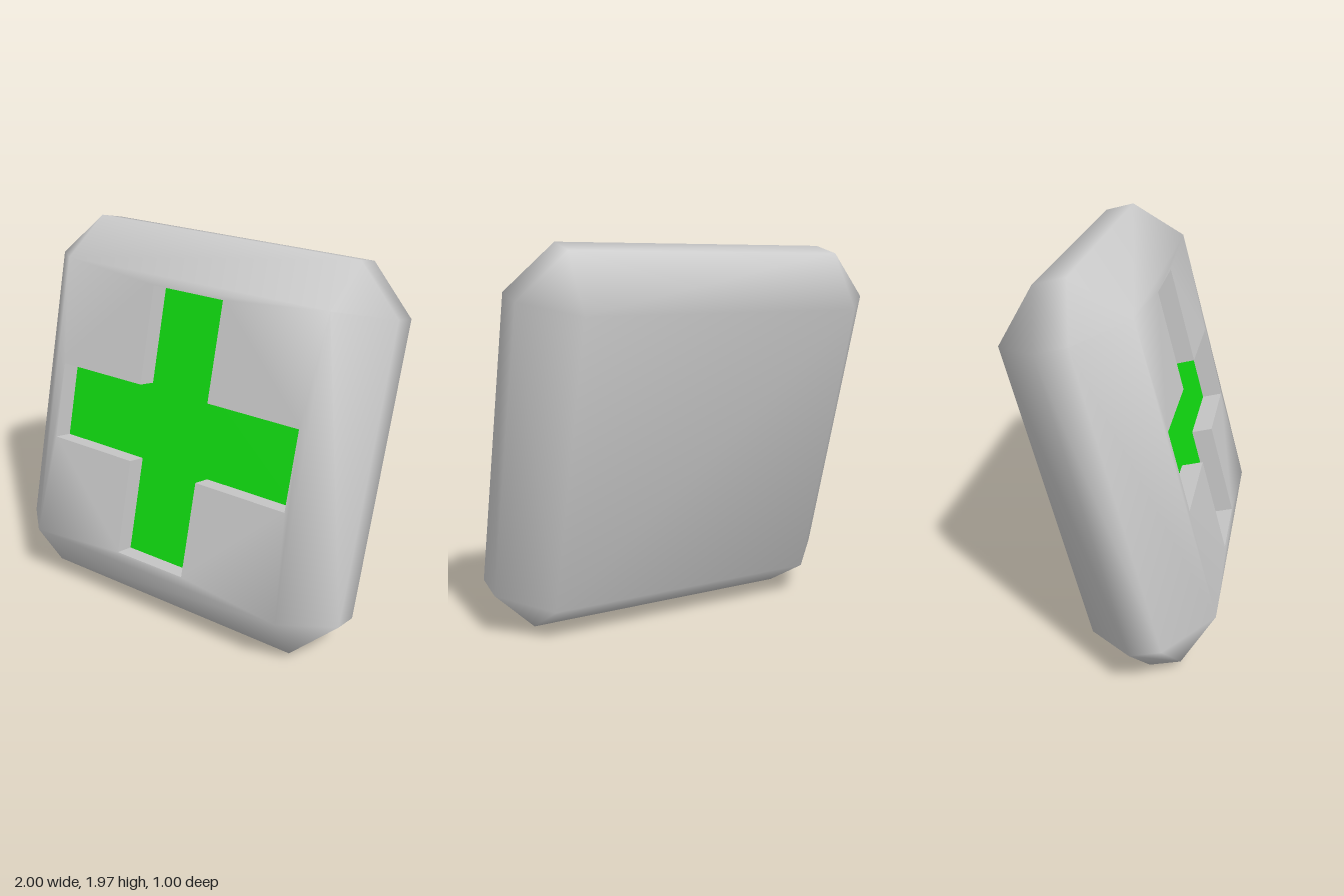
import * as THREE from 'three';
import { mergeGeometries, mergeVertices } from 'three/addons/utils/BufferGeometryUtils.js';

const HALF = 1, INNER = 0.765;        // outer half width, half width inside the bevel
const FACE = 0.315, SIDE = 0.08;      // half depth, half depth of the flat rim
const ARM = 0.714, BAR = 0.205;       // cross arm length and half thickness
const FLOOR = FACE - 0.11;            // level of the recessed cross

// Corners of the cross, counter-clockwise
const crossPoints = [
  [BAR, BAR], [BAR, ARM], [-BAR, ARM], [-BAR, BAR], [-ARM, BAR], [-ARM, -BAR],
  [-BAR, -BAR], [-BAR, -ARM], [BAR, -ARM], [BAR, -BAR], [ARM, -BAR], [ARM, BAR],
].map(([x, y]) => new THREE.Vector2(x, y));

const fromPositions = (positions) => {
  const g = new THREE.BufferGeometry();
  g.setAttribute('position', new THREE.Float32BufferAttribute(positions, 3));
  return g;
};

// Strip of quads between successive closed rings, skipping collapsed triangles
function loft(rings) {
  const out = [];
  const tri = (a, b, c) => {
    if (a.equals(b) || b.equals(c) || c.equals(a)) return;
    for (const p of [a, b, c]) out.push(p.x, p.y, p.z);
  };
  for (let r = 0; r < rings.length - 1; r++) {
    const lo = rings[r], hi = rings[r + 1];
    for (let i = 0; i < lo.length; i++) {
      const j = (i + 1) % lo.length;
      tri(lo[i], lo[j], hi[j]);
      tri(lo[i], hi[j], hi[i]);
    }
  }
  return fromPositions(out);
}

// Eight-cornered outline; a limit of INNER collapses it to the square face
function outline(limit, z) {
  const corners = [
    [HALF, -INNER], [HALF, INNER], [INNER, HALF], [-INNER, HALF],
    [-HALF, INNER], [-HALF, -INNER], [-INNER, -HALF], [INNER, -HALF],
  ];
  const clamp = (v) => THREE.MathUtils.clamp(v, -limit, limit);
  return corners.map(([x, y]) => new THREE.Vector3(clamp(x), clamp(y), z));
}

function bodyGeometry() {
  const bevels = loft([
    outline(INNER, -FACE), outline(HALF, -SIDE), outline(HALF, SIDE), outline(INNER, FACE),
  ]);

  // Square front with a cross-shaped opening
  const square = new THREE.Shape([
    [-INNER, -INNER], [INNER, -INNER], [INNER, INNER], [-INNER, INNER],
  ].map(([x, y]) => new THREE.Vector2(x, y)));
  square.holes.push(new THREE.Path(crossPoints));
  const front = new THREE.ShapeGeometry(square).translate(0, 0, FACE).toNonIndexed();

  const back = new THREE.PlaneGeometry(2 * INNER, 2 * INNER)
    .rotateY(Math.PI).translate(0, 0, -FACE).toNonIndexed();

  for (const g of [front, back]) {
    g.deleteAttribute('normal');
    g.deleteAttribute('uv');
  }
  // Welded so that the shading flows softly over the bevels
  const body = mergeVertices(mergeGeometries([bevels, front, back]), 1e-4);
  body.computeVertexNormals();
  return body;
}

export function createModel() {
  const grey = new THREE.MeshStandardMaterial({ color: 0xcccccc });
  const greyFlat = new THREE.MeshStandardMaterial({ color: 0xcccccc, flatShading: true });
  const green = new THREE.MeshStandardMaterial({ color: 0x11dd11 });

  const box = new THREE.Group();
  box.name = 'tiltedBox';
  const add = (name, geometry, material) => {
    const mesh = new THREE.Mesh(geometry, material);
    mesh.name = name;
    box.add(mesh);
  };

  add('body', bodyGeometry(), grey);

  // Walls of the recess face inwards, so the rings run from the rim to the floor
  const ring = (z) => crossPoints.map((p) => new THREE.Vector3(p.x, p.y, z));
  const walls = loft([ring(FACE), ring(FLOOR)]);
  walls.computeVertexNormals();
  add('recessWalls', walls, greyFlat);

  const floor = new THREE.ShapeGeometry(new THREE.Shape(crossPoints)).translate(0, 0, FLOOR);
  add('greenCross', floor, green);

  // Leaning back, resting on its lower edge
  box.rotation.x = -THREE.MathUtils.degToRad(15);
  box.position.y = 0.987;

  const model = new THREE.Group();
  model.name = 'medicalBox';
  model.add(box);
  return model;
}
